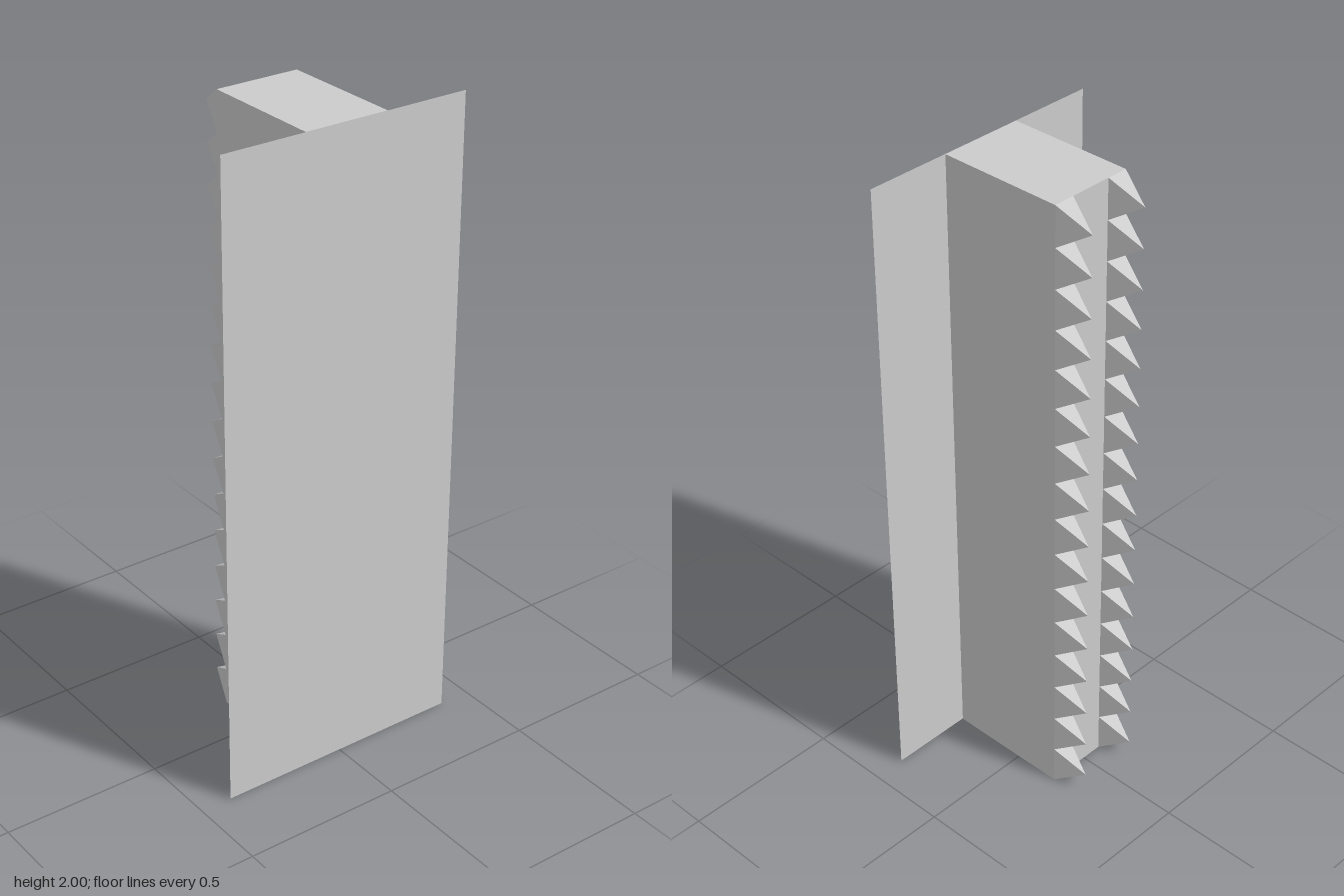
import * as THREE from 'three';

export function createModel() {
  const model = new THREE.Group();
  model.name = 'toothedRail';
  const material = new THREE.MeshStandardMaterial({ color: 0xcccccc, flatShading: true });
  const sheetMaterial = material.clone();
  sheetMaterial.side = THREE.DoubleSide;

  const height = 2;
  const bodyWidth = 0.267;
  const bodyBack = -0.15;
  const plateZ = 0.25;

  function add(name, geometry, mat, x, y, z, parent = model) {
    const mesh = new THREE.Mesh(geometry, mat);
    mesh.name = name;
    mesh.position.set(x, y, z);
    parent.add(mesh);
  }

  // Thin front plate
  add('frontPlate', new THREE.PlaneGeometry(0.8, height), sheetMaterial, 0, height / 2, plateZ);

  // Solid body, ending just behind the plate
  const depth = plateZ - 0.001 - bodyBack;
  add('body', new THREE.BoxGeometry(bodyWidth, height, depth), material, 0, height / 2, bodyBack + depth / 2);

  // Four-sided pyramid tooth pointing backwards
  const rows = 16;
  const toothLength = 0.1;
  const toothWidth = bodyWidth / 4;
  const pitch = height / rows;
  const tooth = new THREE.ConeGeometry(Math.SQRT1_2, toothLength, 4, 1, true)
    .rotateY(Math.PI / 4)
    .scale(toothWidth, 1, pitch)
    .rotateX(-Math.PI / 2)
    .toNonIndexed();
  tooth.computeVertexNormals();

  // Two columns of teeth along the rear edges
  for (const side of [-1, 1]) {
    const column = new THREE.Group();
    column.name = side > 0 ? 'leftTeeth' : 'rightTeeth';
    for (let i = 0; i < rows; i++) {
      add('tooth', tooth, material, side * (bodyWidth - toothWidth) / 2, (i + 0.5) * pitch, bodyBack - toothLength / 2, column);
    }
    model.add(column);
  }

  return model;
}
